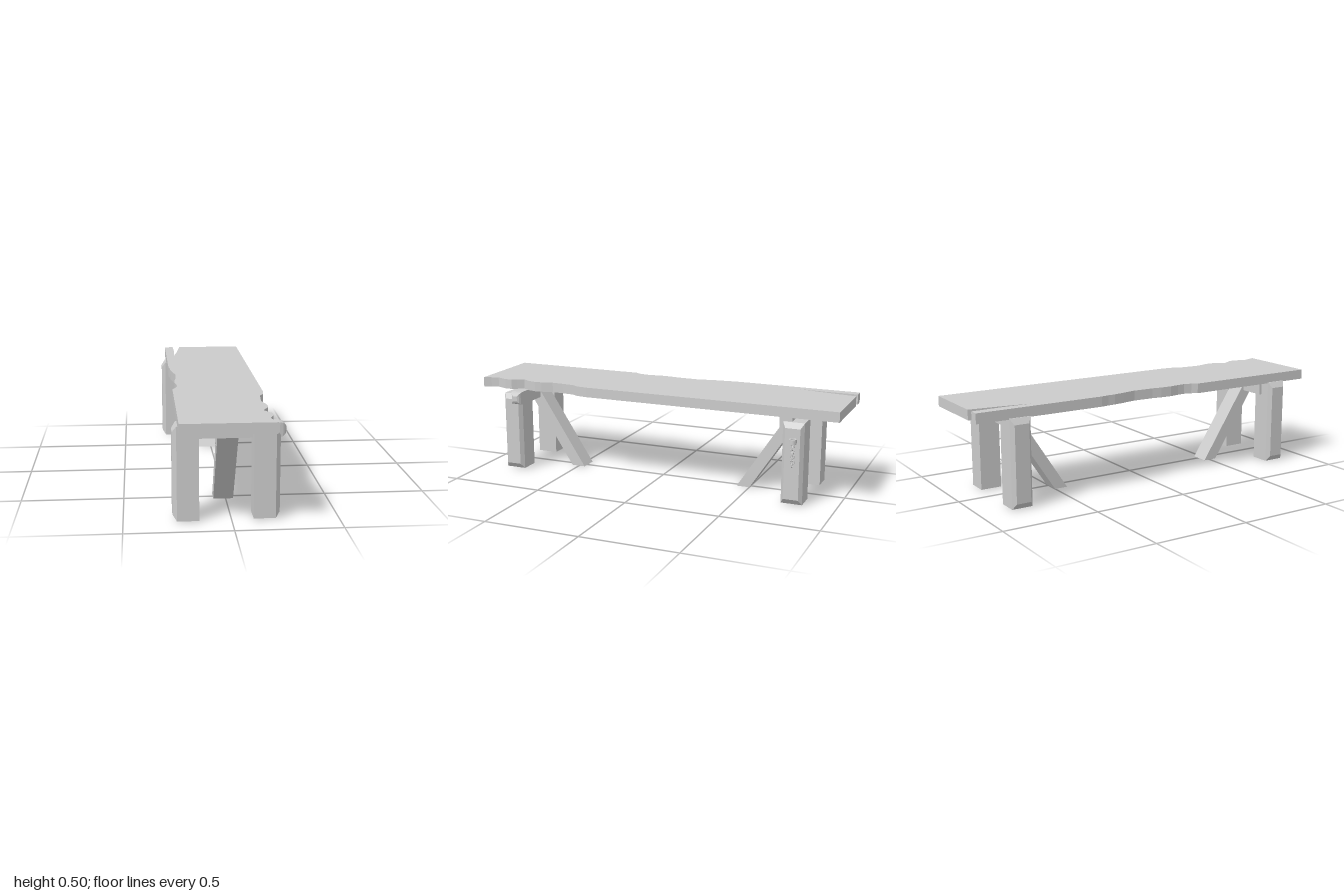
import * as THREE from 'three';

const material = new THREE.MeshStandardMaterial({ color: 0xcccccc, flatShading: true });

function add(parent, name, geometry, x = 0, y = 0, z = 0) {
  const mesh = new THREE.Mesh(geometry, material);
  mesh.name = name;
  mesh.position.set(x, y, z);
  parent.add(mesh);
  return mesh;
}

function outline(points) {
  return new THREE.Shape(points.map(([x, y]) => new THREE.Vector2(x, y)));
}

// Beam along x; each section is [x, height factor, depth factor]
function beam(sections, height, depth) {
  const n = sections.length - 1;
  const geo = new THREE.BoxGeometry(1, height, depth, n, 1, 1);
  const p = geo.attributes.position;
  for (let i = 0; i < p.count; i++) {
    const [x, sy, sz] = sections[Math.round((p.getX(i) + 0.5) * n)];
    p.setXYZ(i, x, p.getY(i) * sy, p.getZ(i) * sz);
  }
  const flat = geo.toNonIndexed();
  flat.computeVertexNormals();
  return flat;
}

// Diagonal brace: side profile in (z, y), extruded across x
function brace(profile, width) {
  const geo = new THREE.ExtrudeGeometry(outline(profile), { depth: width, bevelEnabled: false });
  return geo.rotateY(-Math.PI / 2).translate(width / 2, 0, 0);
}

export function createModel() {
  const bench = new THREE.Group();
  bench.name = 'bench';

  // Plank with worn edges and a split at the back, as [x, z]
  const wornLeft = [
    [0.2, 0.38], [0.195, 0.42], [0.177, 0.45], [0.17, 0.52], [0.167, 0.58],
    [0.183, 0.64], [0.187, 0.68], [0.178, 0.72], [0.153, 0.765], [0.173, 0.8],
    [0.188, 0.825], [0.187, 0.865], [0.167, 0.92], [0.177, 0.96], [0.192, 1],
  ];
  const wornRight = [
    [-0.247, 0.27], [-0.23, 0.24], [-0.22, 0.2], [-0.222, 0.16], [-0.23, 0.11],
    [-0.227, 0.05], [-0.22, 0], [-0.217, -0.11], [-0.23, -0.18], [-0.24, -0.24],
    [-0.241, -0.28], [-0.247, -0.32],
  ];
  const split = [[-0.198, -1], [-0.195, -0.83], [-0.203, -0.69], [-0.183, -0.79], [-0.156, -1]];
  const edge = [[0.203, -1], [0.203, 0.36], ...wornLeft, [-0.247, 1], ...wornRight, [-0.247, -1], ...split];
  const plank = new THREE.ExtrudeGeometry(outline(edge.map(([x, z]) => [x, -z])), { depth: 0.052, bevelEnabled: false });
  add(bench, 'seatPlank', plank.rotateX(-Math.PI / 2), 0, 0.445, 0);

  // Legs, chamfered around the outer face
  const leftLeg = [[0.102, 1, 1], [0.205, 1, 1], [0.225, 0.87, 0.7]];
  const rightLeg = [[-0.273, 0.87, 0.7], [-0.253, 1, 1], [-0.15, 1, 1]];
  for (const [end, z] of [['front', 0.804], ['back', -0.777]]) {
    add(bench, end + 'LeftLeg', beam(leftLeg, 0.42, 0.11), 0, 0.215, z);
    add(bench, end + 'RightLeg', beam(rightLeg, 0.45, 0.11), 0, 0.225, z);
  }

  // Crossbars under the plank; the front one has a rounded protruding end
  const roundedEnd = [[-0.2, 1, 1], [0.228, 1, 1], [0.243, 0.9, 0.9], [0.253, 0.7, 0.7], [0.259, 0.4, 0.4]];
  add(bench, 'frontCrossbar', beam(roundedEnd, 0.07, 0.062), 0, 0.41, 0.765);
  add(bench, 'backCrossbar', beam([[-0.2, 1, 1], [0.195, 1, 1]], 0.083, 0.064), 0, 0.404, -0.733);

  // Diagonal braces
  add(bench, 'frontBrace', brace([[0.465, 0], [0.54, 0], [0.785, 0.375], [0.785, 0.43], [0.745, 0.43]], 0.098), -0.012);
  add(bench, 'backBrace', brace([[-0.43, 0], [-0.5, 0], [-0.745, 0.375], [-0.745, 0.43], [-0.71, 0.43]], 0.098), -0.023);

  // Eye bolt on the back left leg
  const chain = new THREE.Group();
  chain.name = 'chain';
  chain.position.set(0.252, 0, -0.787);
  bench.add(chain);
  const ring = new THREE.Shape().absarc(0, 0, 0.019, 0, Math.PI * 2);
  ring.holes.push(new THREE.Path().absarc(0, 0, 0.011, 0, Math.PI * 2, true));
  const eye = new THREE.ExtrudeGeometry(ring, { depth: 0.024, bevelEnabled: false, curveSegments: 10 });
  add(chain, 'eyeRing', eye.rotateX(-Math.PI / 2), 0, 0.329, 0);
  const stem = new THREE.CylinderGeometry(0.007, 0.013, 0.025, 8).rotateZ(-Math.PI / 2);
  add(chain, 'eyeStem', stem, -0.026, 0.341, 0);

  // Hexagonal chain links, alternately turned
  for (let i = 0; i < 8; i++) {
    const link = new THREE.TorusGeometry(0.0105, 0.0026, 5, 6).rotateZ(Math.PI / 6);
    const mesh = add(chain, 'chainLink', link, 0, 0.321 - i * 0.0143, 0);
    if (i % 2 === 0) mesh.rotation.y = Math.PI / 2;
  }

  return bench;
}
